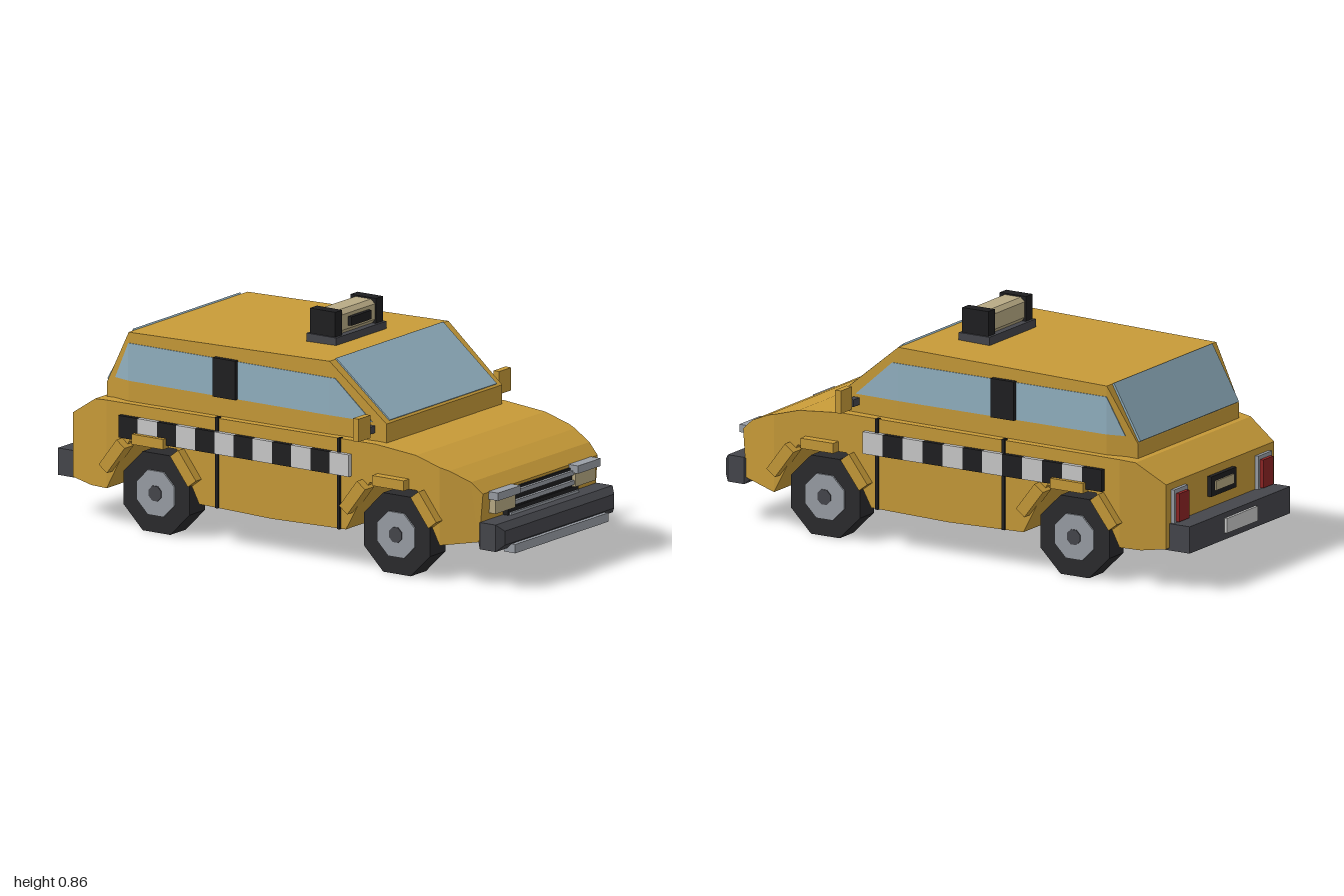
import * as THREE from 'three';

const mat = (color) => new THREE.MeshStandardMaterial({ color, flatShading: true });
const M = {
  paint: mat(0xc89b38), glass: mat(0x93b2c2), black: mat(0x1e1e20), rubber: mat(0x2a2a2d),
  bumper: mat(0x45464c), chrome: mat(0x9a9fa6), light: mat(0xbdbdbd), beige: mat(0xb9ab85), red: mat(0x8e2424),
};

export function createModel() {
  const root = new THREE.Group();

  const add = (name, geo, material) => {
    const mesh = new THREE.Mesh(geo, material);
    mesh.name = name;
    root.add(mesh);
    return mesh;
  };

  // Box given by its [min, max] range on each axis
  const box = (name, material, [x0, x1], [y0, y1], [z0, z1]) => {
    const mesh = add(name, new THREE.BoxGeometry(Math.abs(x1 - x0), y1 - y0, z1 - z0), material);
    mesh.position.set((x0 + x1) / 2, (y0 + y1) / 2, (z0 + z1) / 2);
    return mesh;
  };
  // The same box on the left and the right
  const pair = (name, material, [x0, x1], y, z) => {
    box(name + 'Left', material, [x0, x1], y, z);
    box(name + 'Right', material, [-x1, -x0], y, z);
  };

  // Side profile of [z, y] points extruded across x; halfWidth(z) tapers the ends
  const prism = (name, material, points, halfWidth) => {
    const shape = new THREE.Shape(points.map(([z, y]) => new THREE.Vector2(-z, y)));
    const geo = new THREE.ExtrudeGeometry(shape, { depth: 2, bevelEnabled: false });
    geo.translate(0, 0, -1).rotateY(Math.PI / 2);
    const p = geo.attributes.position;
    for (let i = 0; i < p.count; i++) p.setX(i, Math.sign(p.getX(i)) * halfWidth(p.getZ(i)));
    geo.computeVertexNormals();
    return add(name, geo, material);
  };
  const ramp = (z, a, b) => THREE.MathUtils.clamp((z - a) / (b - a), 0, 1);

  // Lower body: tapered nose and tail, middle with wheel arches cut through
  const bodyWidth = (z) => 0.402 - 0.045 * ramp(z, 0.745, 0.9) - 0.037 * ramp(z, -0.73, -0.905);
  prism('bodyFront', M.paint,
    [[0.745, 0.14], [0.89, 0.165], [0.905, 0.345], [0.86, 0.385], [0.78, 0.42], [0.745, 0.43]], bodyWidth);
  prism('bodyMiddle', M.paint, [
    [0.745, 0.14], [0.745, 0.43], [0.64, 0.46], [0.46, 0.476], [-0.73, 0.468],
    [-0.73, 0.14], [-0.63, 0.33], [-0.42, 0.33], [-0.32, 0.14],
    [0, 0.132], [0.33, 0.14], [0.435, 0.33], [0.645, 0.33],
  ], bodyWidth);
  prism('bodyRear', M.paint,
    [[-0.73, 0.14], [-0.73, 0.468], [-0.79, 0.462], [-0.905, 0.39], [-0.905, 0.15], [-0.81, 0.137]], bodyWidth);

  // Cabin, split where the sides start to taper
  const cabinWidth = (z) => 0.37 - 0.01 * ramp(z, 0.235, 0.48) - 0.028 * ramp(z, -0.655, -0.77);
  prism('cabinFront', M.paint, [[0.48, 0.46], [0.48, 0.545], [0.235, 0.745], [0.235, 0.46]], cabinWidth);
  prism('cabinMiddle', M.paint, [[0.235, 0.46], [0.235, 0.745], [-0.655, 0.725], [-0.655, 0.46]], cabinWidth);
  prism('cabinRear', M.paint, [[-0.655, 0.46], [-0.655, 0.725], [-0.77, 0.52], [-0.77, 0.46]], cabinWidth);

  // Glass
  prism('windshield', M.glass, [[0.47, 0.549], [0.476, 0.555], [0.238, 0.75], [0.232, 0.744]], () => 0.333);
  prism('rearWindow', M.glass, [[-0.655, 0.722], [-0.662, 0.729], [-0.776, 0.528], [-0.766, 0.522]], () => 0.333);
  const glassWidth = (z) => cabinWidth(z) + 0.003;
  prism('sideWindowFront', M.glass, [[0.42, 0.545], [0.26, 0.685], [0.235, 0.685], [0.235, 0.545]], glassWidth);
  prism('sideWindowMiddle', M.glass, [[0.235, 0.545], [0.235, 0.685], [-0.655, 0.685], [-0.655, 0.545]], glassWidth);
  prism('sideWindowRear', M.glass, [[-0.655, 0.545], [-0.655, 0.685], [-0.725, 0.545]], glassWidth);
  pair('doorPillar', M.black, [0.362, 0.389], [0.545, 0.69], [-0.27, -0.17]);

  // Door seams and checkered stripe
  for (const z of [0.302, -0.238]) pair('doorSeam', M.black, [0.39, 0.41], [0.138, 0.477], [z - 0.006, z + 0.006]);
  for (let i = 0; i < 12; i++) {
    const z = 0.355 - i * 0.085;
    pair('stripeCheck', i % 2 ? M.black : M.light, [0.39, 0.42], [0.342, 0.424], [z - 0.085, z]);
  }

  // Wheels with hubs on both faces, and three-piece arch flares
  const octagon = (r, width) => new THREE.CylinderGeometry(r, r, width, 8).rotateX(0).rotateY(Math.PI / 8).rotateZ(Math.PI / 2);
  for (const z of [0.54, -0.525]) {
    for (const s of [-1, 1]) {
      add('tire', octagon(0.159, 0.095), M.rubber).position.set(s * 0.332, 0.147, z);
      add('hub', octagon(0.09, 0.108), M.chrome).position.set(s * 0.332, 0.147, z);
      add('hubCap', octagon(0.03, 0.116), M.bumper).position.set(s * 0.332, 0.147, z);
      box('flareTop', M.paint, [s * 0.38, s * 0.437], [0.33, 0.368], [z - 0.07, z + 0.07]);
      for (const e of [-1, 1]) {
        const flare = add('flareSide', new THREE.BoxGeometry(0.057, 0.045, 0.13), M.paint);
        flare.position.set(s * 0.4085, 0.272, z + e * 0.158);
        flare.rotation.x = e * 0.92;
      }
    }
  }

  // Mirrors
  pair('mirror', M.paint, [0.4, 0.475], [0.495, 0.58], [0.413, 0.438]);
  pair('mirrorArm', M.bumper, [0.35, 0.402], [0.505, 0.532], [0.405, 0.43]);

  // Front bumper with chamfered edges, and its lower strip
  const face = new THREE.Shape([[-0.34, 0.164], [0.34, 0.164], [0.34, 0.216], [-0.34, 0.216]]
    .map(([x, y]) => new THREE.Vector2(x, y)));
  const bumperGeo = new THREE.ExtrudeGeometry(face,
    { depth: 0.07, bevelSize: 0.024, bevelThickness: 0.024, bevelSegments: 1 });
  add('frontBumper', bumperGeo, M.bumper).position.z = 0.896;
  box('bumperStrip', M.chrome, [-0.29, 0.29], [0.125, 0.158], [0.95, 1]);

  // Grille and headlights
  box('grille', M.black, [-0.19, 0.19], [0.262, 0.335], [0.87, 0.912]);
  box('lowerGrille', M.black, [-0.22, 0.22], [0.236, 0.264], [0.87, 0.918]);
  box('grilleBar', M.chrome, [-0.215, 0.215], [0.31, 0.326], [0.88, 0.924]);
  box('grilleBar', M.chrome, [-0.212, 0.212], [0.273, 0.289], [0.88, 0.924]);
  box('grilleBar', M.chrome, [-0.21, 0.21], [0.238, 0.249], [0.88, 0.926]);
  pair('headlight', M.beige, [0.186, 0.31], [0.265, 0.325], [0.87, 0.928]);
  pair('headlightTrim', M.chrome, [0.178, 0.32], [0.318, 0.347], [0.87, 0.945]);

  // Rear bumper, plates and tail lights
  box('rearBumper', M.bumper, [-0.34, 0.34], [0.14, 0.24], [-0.99, -0.88]);
  box('rearPlate', M.light, [-0.105, 0.105], [0.165, 0.22], [-1, -0.98]);
  box('tailgateFrame', M.black, [-0.085, 0.085], [0.285, 0.36], [-0.922, -0.89]);
  box('tailgatePanel', M.beige, [-0.06, 0.06], [0.305, 0.34], [-0.928, -0.91]);
  pair('tailLightFrame', M.chrome, [0.238, 0.33], [0.235, 0.365], [-0.918, -0.89]);
  pair('tailLight', M.red, [0.25, 0.318], [0.245, 0.35], [-0.932, -0.91]);

  // Roof sign
  box('signBase', M.bumper, [-0.156, 0.156], [0.735, 0.77], [-0.02, 0.112]);
  pair('signEnd', M.black, [0.105, 0.149], [0.77, 0.863], [-0.01, 0.102]);
  prism('signLamp', M.beige, [
    [0.008, 0.768], [0.084, 0.768], [0.098, 0.785], [0.098, 0.843],
    [0.08, 0.858], [0.012, 0.858], [-0.005, 0.843], [-0.005, 0.785],
  ], () => 0.107);
  box('signPanel', M.black, [-0.063, 0.063], [0.797, 0.83], [0.09, 0.113]);

  return root;
}
